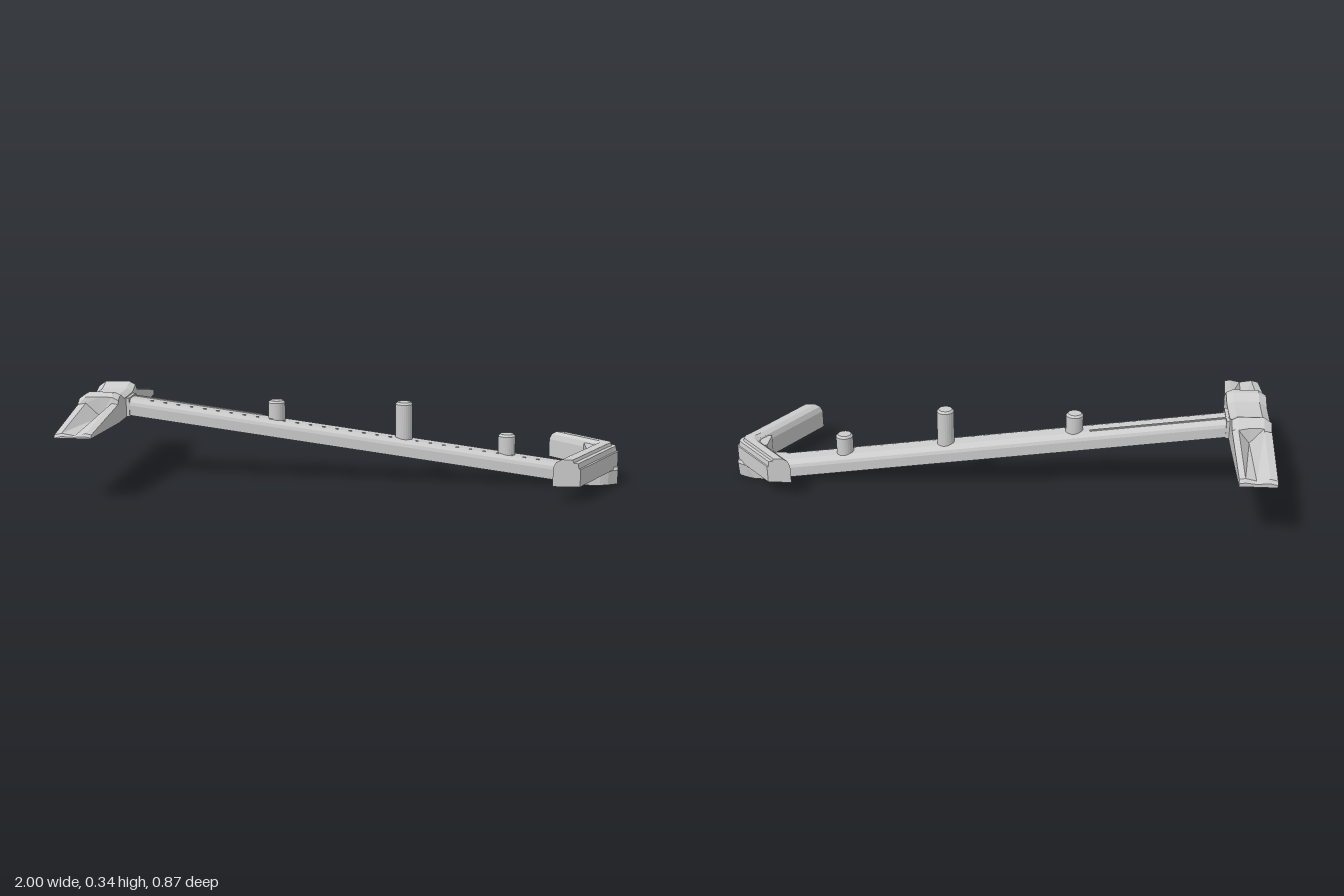
import * as THREE from 'three';

const mat = new THREE.MeshStandardMaterial({ color: 0xcccccc, flatShading: true });
const MID = -0.018; // z of the beam centre line

// Skin a row of closed rings (arrays of [x, y, z]) and cap both ends
function loft(rings) {
  const pos = [];
  const tri = (a, b, c) => pos.push(...a, ...b, ...c);
  const n = rings[0].length;
  for (let r = 0; r < rings.length - 1; r++) {
    for (let i = 0; i < n; i++) {
      const j = (i + 1) % n, a = rings[r], b = rings[r + 1];
      tri(a[i], a[j], b[j]);
      tri(a[i], b[j], b[i]);
    }
  }
  [rings[0], rings[rings.length - 1]].forEach((ring, end) => {
    const c = [0, 1, 2].map(k => (ring[0][k] + ring[1][k]) / 2);
    for (let i = 0; i < n; i++) {
      const j = (i + 1) % n;
      if (end) tri(c, ring[i], ring[j]); else tri(c, ring[j], ring[i]);
    }
  });
  const g = new THREE.BufferGeometry();
  g.setAttribute('position', new THREE.Float32BufferAttribute(pos, 3));
  g.computeVertexNormals();
  return g;
}

export function createModel() {
  const group = new THREE.Group();
  const add = (name, geometry, x = 0, y = 0, z = 0) => {
    const m = new THREE.Mesh(geometry, mat);
    m.name = name;
    m.position.set(x, y, z);
    group.add(m);
    return m;
  };
  const beamTop = x => 0.305 - 0.139 * (x + 0.85);

  // Sloping beam: flat underside, rounded shoulders
  const beamRing = x => {
    const t = beamTop(x), pts = [[-0.053, -0.062], [0.053, -0.062], [0.053, -0.024],
      [0.049, -0.012], [0.039, -0.004], [0.026, 0],
      [-0.026, 0], [-0.039, -0.004], [-0.049, -0.012], [-0.053, -0.024]];
    return pts.map(([s, y]) => [x, Math.max(0, t + y), MID - s]);
  };
  add('beam', loft([-0.93, 0.82, 0.9].map(beamRing)));

  // Thin raised rib on the upper part of the beam
  const rib = add('beamRib', new THREE.BoxGeometry(0.51, 0.008, 0.008), -0.59, beamTop(-0.59), -0.04);
  rib.rotation.z = -Math.atan(0.139);

  // Small marks along one shoulder of the beam
  const marks = new THREE.Group();
  marks.name = 'beamMarks';
  for (let x = -0.75; x < 0.75; x += 0.05) {
    const m = new THREE.Mesh(new THREE.BoxGeometry(0.012, 0.004, 0.004), mat);
    m.position.set(x, beamTop(x), 0.008);
    marks.add(m);
  }
  group.add(marks);

  // Upright pegs with a chamfered top
  [[-0.28, 0.296], [0.2, 0.296], [0.585, 0.18]].forEach(([x, top], i) => {
    const base = beamTop(x) - 0.02, h = top - base;
    const profile = [[0, 0], [0.032, 0], [0.032, h - 0.008], [0.025, h], [0, h]];
    add('peg' + (i + 1), new THREE.LatheGeometry(
      profile.map(p => new THREE.Vector2(...p)), 24), x, base, -0.02);
  });

  // Crosspiece: grooved wings rising to two humps around a saddle
  // each station: z, top y, groove depth
  const stations = [
    [-0.435, 0.25, 0.004], [-0.425, 0.262, 0.008], [-0.152, 0.31, 0.05],
    [-0.146, 0.316, 0], [-0.115, 0.345, 0], [-0.065, 0.325, 0], [0, 0.322, 0], [0.065, 0.323, 0],
    [0.105, 0.342, 0], [0.13, 0.342, 0], [0.15, 0.33, 0], [0.155, 0.308, 0.05],
    [0.425, 0.252, 0.008], [0.432, 0.242, 0.002],
  ];
  add('crosspiece', loft(stations.map(([z, top, dip]) => {
    const skew = -0.029 * z;
    const wing = Math.abs(z) > 0.15;
    const l = -0.988 + skew, r = Math.abs(z) > 0.2 ? -0.857 + skew : -0.842;
    const at = t => l + (r - l) * t;
    return [[l, 0.235, z], [r, 0.235, z], [r, top - (wing ? 0.004 : 0.012), z],
      [at(0.84), top, z], [at(0.55), top - dip, z], [at(0.2), top, z],
      [l, top - (wing ? 0.006 : 0.02), z]];
  })));

  // Collar where the beam enters the crosspiece
  add('collar', new THREE.BoxGeometry(0.04, 0.07, 0.112), -0.85, 0.272, MID);

  // Arrow head: two swept arms of unequal length, bevelled along the top
  const arms = [
    [-0.193, 0.758, 0.845], [-0.05, 0.888, 0.98], [-0.032, 0.902, 0.997],
    [-0.008, 0.902, 0.997], [0.012, 0.888, 0.982], [0.286, 0.732, 0.828],
  ];
  const armSection = [[0, 0.057], [1, 0.057], [1, 0.12], [0.94, 0.122], [0.9, 0.141],
    [0.74, 0.143], [0.7, 0.154], [0.3, 0.155], [0.1, 0.145], [0, 0.125]];
  add('arrowHead', loft(arms.map(([z, a, b]) =>
    armSection.map(([t, y]) => [a + (b - a) * t, y, z]))));

  // Foot under the arrow head, narrowing to the tip
  const foot = [[0.82, 0.05, 0.05, 0.072], [0.93, 0.05, 0.05, 0.066],
    [0.96, 0.04, 0.05, 0.066], [0.997, 0.022, 0.03, 0.066]];
  add('foot', loft(foot.map(([x, wb, wt, top]) =>
    [[-wb, 0], [wb, 0], [wt, 0.055], [wt * 0.8, top], [-wt * 0.8, top], [-wt, 0.055]]
      .map(([s, y]) => [x, y, MID - s]))));

  // Upright block joining the beam to the inside of the arrow head
  add('headBlock', new THREE.BoxGeometry(0.07, 0.09, 0.08), 0.91, 0.095, MID);
  return group;
}
